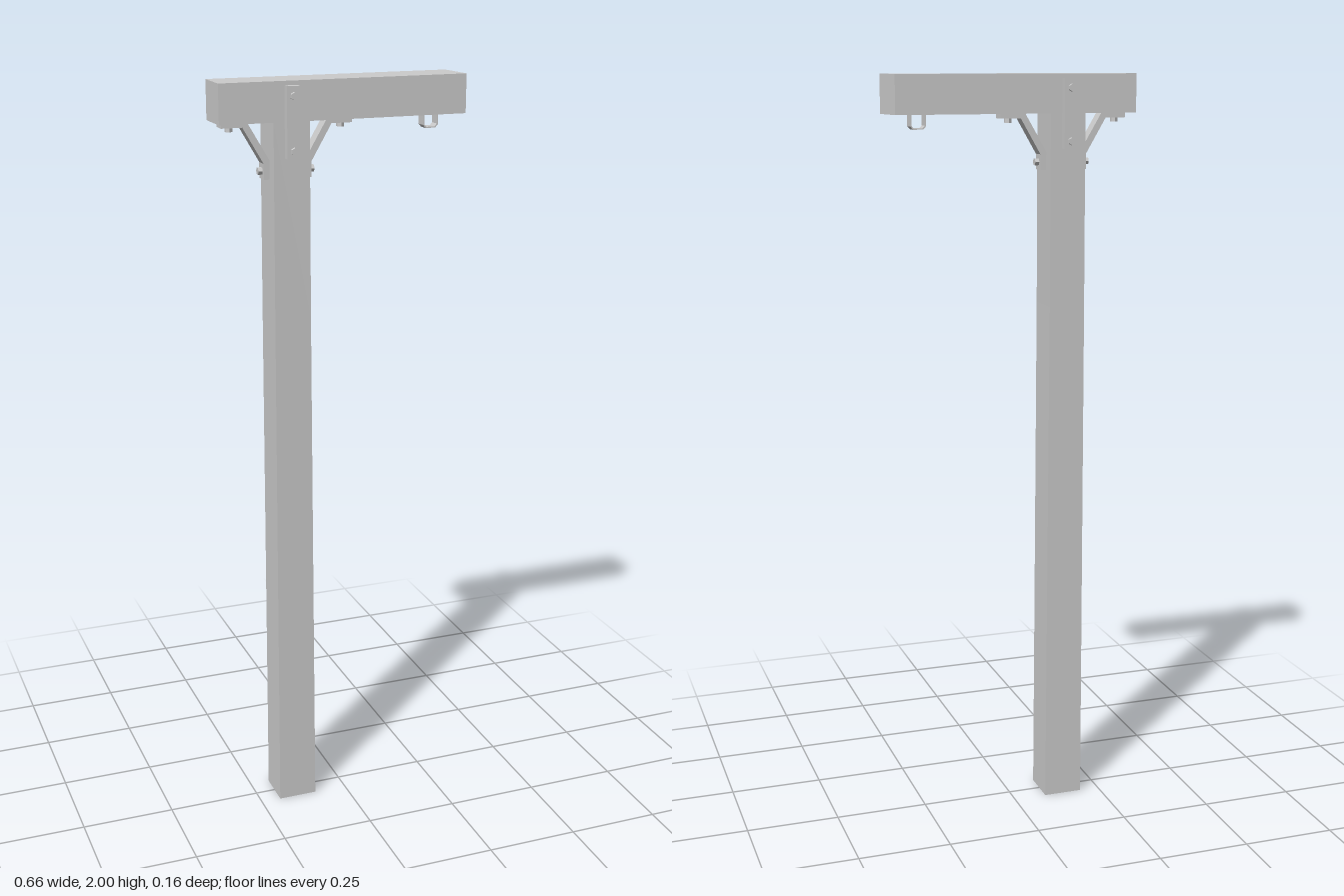
import * as THREE from 'three';

const material = new THREE.MeshStandardMaterial({ color: 0xcccccc, flatShading: true, side: THREE.DoubleSide });

function add(parent, name, geometry, x = 0, y = 0, z = 0) {
  const mesh = new THREE.Mesh(geometry, material);
  mesh.name = name;
  mesh.position.set(x, y, z);
  parent.add(mesh);
  return mesh;
}

// Extrudes an outline in x/y, centred on z = 0
function extrude(points, depth) {
  const shape = new THREE.Shape(points.map(([x, y]) => new THREE.Vector2(x, y)));
  return new THREE.ExtrudeGeometry(shape, { depth, bevelEnabled: false }).translate(0, 0, -depth / 2);
}

// Hexagonal bolt head whose axis follows dir
function bolt(parent, x, y, z, dir, length = 0.014) {
  const mesh = add(parent, 'boltHead', new THREE.CylinderGeometry(0.01, 0.01, length, 6), x, y, z);
  mesh.quaternion.setFromUnitVectors(new THREE.Vector3(0, 1, 0), dir);
}

export function createModel() {
  const model = new THREE.Group();
  model.name = 'signPost';

  // Post, slightly wider at the foot
  add(model, 'post', extrude([[-0.196, 0], [-0.09, 0], [-0.095, 1.4], [-0.095, 1.9], [-0.19, 1.9], [-0.192, 1.4]], 0.104));

  // Beam with one skewed end
  const beam = new THREE.BoxGeometry(0.66, 0.1, 0.107);
  const p = beam.attributes.position;
  for (let i = 0; i < p.count; i++) {
    if (p.getX(i) > 0 && p.getZ(i) < 0) p.setX(i, 0.318);
  }
  beam.computeVertexNormals();
  add(model, 'beam', beam, 0, 1.95, -0.0015);

  // Bolted strap on the front and back of the joint
  for (const s of [1, -1]) {
    const strap = new THREE.Group();
    strap.name = s > 0 ? 'frontStrap' : 'backStrap';
    const face = s > 0 ? 0.051 : -0.054;
    add(strap, 'strapPlate', new THREE.BoxGeometry(0.036, 0.178, 0.02), -0.143, 1.9, face + s * 0.01);
    for (const y of [1.965, 1.83]) {
      bolt(strap, -0.143, y, face + s * 0.022, new THREE.Vector3(0, 0, s));
    }
    model.add(strap);
  }

  // Bent braces between post and beam
  for (const [s, face] of [[1, -0.095], [-1, -0.19]]) {
    const brace = new THREE.Group();
    brace.name = s > 0 ? 'leftBrace' : 'rightBrace';
    const outline = [[0, 1.755], [0.016, 1.755], [0.016, 1.795], [0.07, 1.887], [0.125, 1.887],
      [0.125, 1.9], [0.058, 1.9], [0, 1.802]];
    add(brace, 'braceStrip', extrude(outline.map(([u, y]) => [face + s * u, y]), 0.036));
    bolt(brace, face + s * 0.02, 1.775, 0, new THREE.Vector3(s, 0, 0));
    bolt(brace, face + s * 0.1, 1.883, 0, new THREE.Vector3(0, -1, 0));
    model.add(brace);
  }

  // Open hanging loop under the long arm
  const loop = [[0.228, 1.9], [0.228, 1.87], [0.235, 1.862], [0.262, 1.862], [0.269, 1.87], [0.269, 1.9],
    [0.266, 1.9], [0.266, 1.872], [0.26, 1.865], [0.237, 1.865], [0.231, 1.872], [0.231, 1.9]];
  add(model, 'hangingLoop', extrude(loop, 0.03));

  return model;
}
